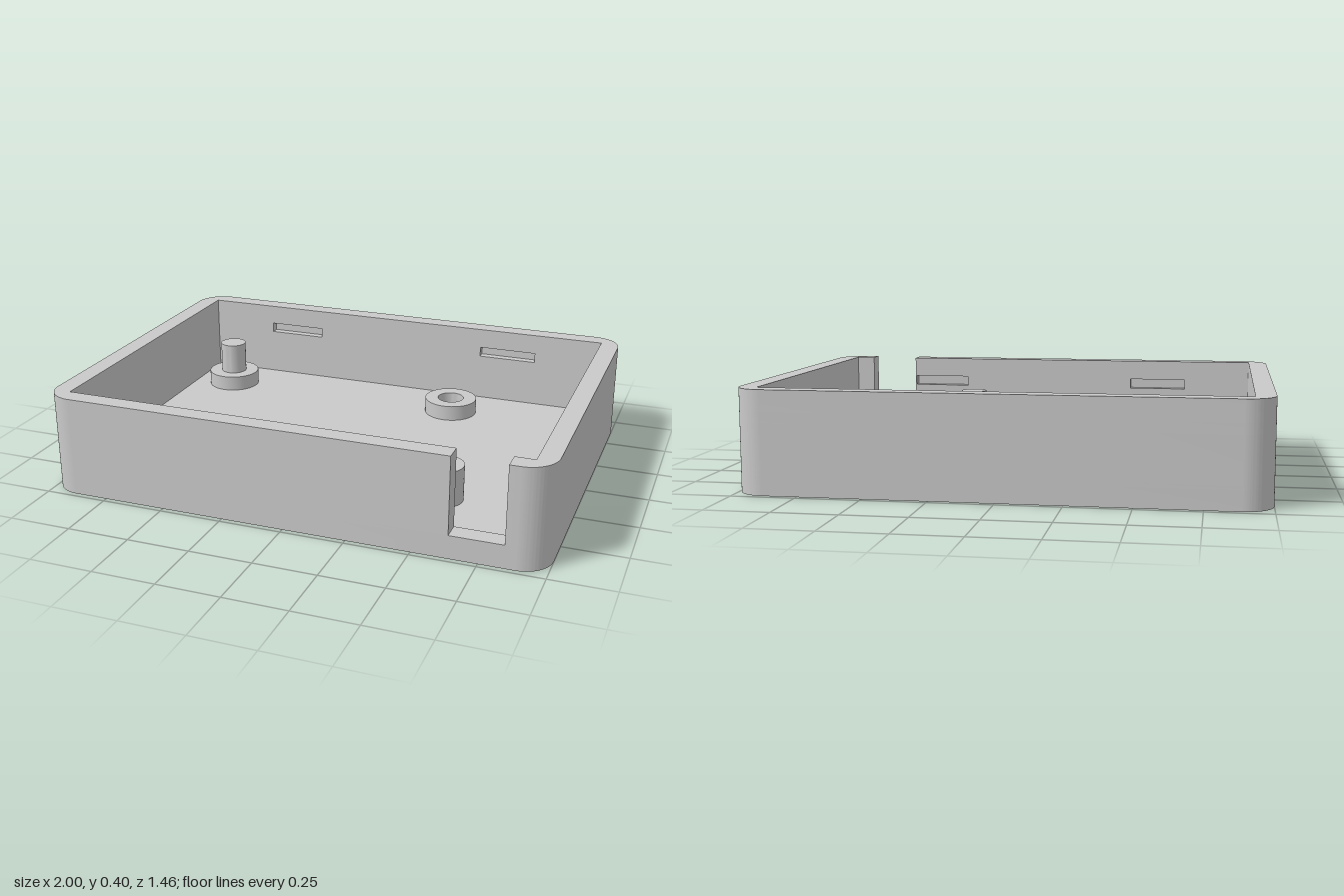
import * as THREE from 'three';
import { toCreasedNormals } from 'three/addons/utils/BufferGeometryUtils.js';

const W = 1, D = 0.73, R = 0.115;         // outer half sizes and corner radius
const w = 0.923, d = 0.655;               // inner half sizes
const NOTCH = [0.64, 0.845];              // opening in the front wall
const SLOT = [0.385, 0.634], SLOT_DEPTH = 0.035;
const FLOOR = 0.078, SILL = 0.093, SLOT_Y = [0.274, 0.316], TOP = 0.4;
const STANDOFF_TOP = 0.142, PIN_TOP = 0.275, TUBE_TOP = 0.222;

// Outer outline, counter-clockwise from the front right to the front left corner
function traceOuter(path) {
  path.lineTo(W - R, -D);
  path.absarc(W - R, -D + R, R, -Math.PI / 2, 0, false);
  path.absarc(W - R, D - R, R, 0, Math.PI / 2, false);
  path.absarc(-W + R, D - R, R, Math.PI / 2, Math.PI, false);
  path.absarc(-W + R, -D + R, R, Math.PI, Math.PI * 1.5, false);
}

function plateShape() {
  const s = new THREE.Shape();
  s.moveTo(0, -D);
  traceOuter(s);
  s.closePath();
  return s;
}

function closedWallShape() {
  const s = plateShape();
  s.holes.push(new THREE.Path([[-w, -d], [-w, d], [w, d], [w, -d]].map(p => new THREE.Vector2(...p))));
  return s;
}

// Wall broken by the notch, optionally with catch slots cut into its inner face
function notchedWallShape(slots) {
  const s = new THREE.Shape();
  const [n0, n1] = NOTCH, [a, b] = SLOT, e = d + SLOT_DEPTH;
  s.moveTo(n1, -D);
  traceOuter(s);
  s.lineTo(n0, -D);
  const inner = slots
    ? [[n0, -d], [b, -d], [b, -e], [a, -e], [a, -d], [-a, -d], [-a, -e], [-b, -e], [-b, -d], [-w, -d], [-w, d],
      [-b, d], [-b, e], [-a, e], [-a, d], [a, d], [a, e], [b, e], [b, d], [w, d], [w, -d], [n1, -d]]
    : [[n0, -d], [-w, -d], [-w, d], [w, d], [w, -d], [n1, -d]];
  inner.forEach(p => s.lineTo(...p));
  s.closePath();
  return s;
}

function ringShape(outer, hole) {
  const s = new THREE.Shape().absarc(0, 0, outer, 0, Math.PI * 2, false);
  if (hole) s.holes.push(new THREE.Path().absarc(0, 0, hole, 0, Math.PI * 2, true));
  return s;
}

// Upright slab of a plan shape between two heights
function slab(shape, y0, y1) {
  const g = new THREE.ExtrudeGeometry(shape, { depth: y1 - y0, bevelEnabled: false, curveSegments: 20 });
  g.rotateX(-Math.PI / 2).translate(0, y0, 0);
  return toCreasedNormals(g, 0.6);
}

export function createModel() {
  const group = new THREE.Group();
  group.name = 'enclosureBase';
  const grey = new THREE.MeshStandardMaterial({ color: 0xcacaca });
  grey.name = 'grey plastic';

  const add = (name, geometry, x = 0, z = 0) => {
    const mesh = new THREE.Mesh(geometry, grey);
    mesh.name = name;
    mesh.position.set(x, 0, z);
    group.add(mesh);
  };

  // Tray
  add('floor', slab(plateShape(), 0, FLOOR));
  add('lowerWall', slab(closedWallShape(), FLOOR, SILL));
  add('middleWall', slab(notchedWallShape(false), SILL, SLOT_Y[0]));
  add('slottedWall', slab(notchedWallShape(true), SLOT_Y[0], SLOT_Y[1]));
  add('upperWall', slab(notchedWallShape(false), SLOT_Y[1], TOP));

  // Board standoffs: pins on one diagonal, holes on the other
  for (const x of [-0.745, 0.313]) {
    for (const z of [-0.441, 0.441]) {
      const pinned = (x < 0) === (z < 0);
      add('standoff', slab(ringShape(0.112, pinned ? 0 : 0.056), FLOOR, STANDOFF_TOP), x, z);
      if (pinned) add('locatingPin', slab(ringShape(0.056), STANDOFF_TOP, PIN_TOP), x, z);
    }
  }

  // Tall tube beside the notch
  add('cableTube', slab(ringShape(0.081, 0.046), FLOOR, TUBE_TOP), 0.528, 0.42);

  return group;
}
